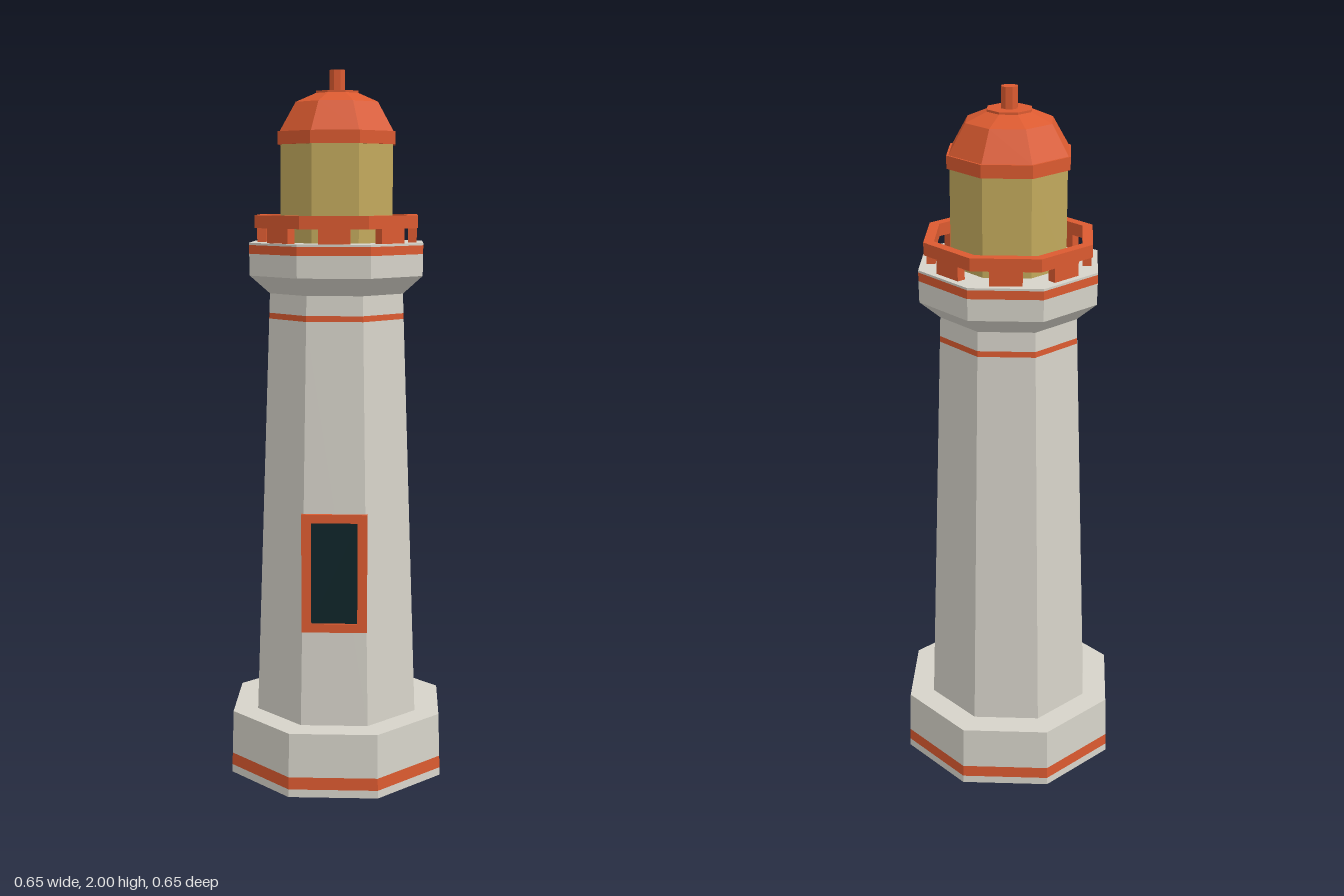
import * as THREE from 'three';

const paint = (color) => new THREE.MeshStandardMaterial({ color, flatShading: true });

export function createModel() {
  const model = new THREE.Group();
  const white = paint(0xd6d3c9), red = paint(0xdb5a30), gold = paint(0xc2a95c), dark = paint(0x0e2429);

  // Eight-sided solid from [radius, height] points, listed bottom to top
  function octagon(name, material, points) {
    const geometry = new THREE.LatheGeometry(points.map(([r, y]) => new THREE.Vector2(r, y)), 8);
    const mesh = new THREE.Mesh(geometry, material);
    mesh.name = name;
    model.add(mesh);
  }

  // Plinth with painted stripe
  octagon('plinthFoot', white, [[0, 0], [0.27, 0], [0.325, 0.008], [0.324, 0.03]]);
  octagon('plinthStripe', red, [[0.324, 0.03], [0.323, 0.065]]);
  octagon('plinth', white, [[0.323, 0.065], [0.319, 0.19], [0.23, 0.19]]);

  // Tapering tower and its stripe
  const towerRadius = (y) => 0.245 - 0.0375 * (y - 0.19);
  octagon('tower', white, [[towerRadius(0.19), 0.19], [towerRadius(1.32), 1.32]]);
  octagon('towerStripe', red, [[towerRadius(1.32), 1.32], [towerRadius(1.336), 1.336]]);
  octagon('towerNeck', white, [[towerRadius(1.336), 1.336], [0.2, 1.39]]);

  // Flared gallery
  octagon('gallery', white, [[0.2, 1.39], [0.258, 1.44], [0.259, 1.5]]);
  octagon('galleryStripe', red, [[0.259, 1.5], [0.259, 1.524]]);
  octagon('galleryFloor', white, [[0.259, 1.524], [0.259, 1.53], [0, 1.53]]);

  // Railing ring on posts, one post per side
  octagon('railing', red, [[0.213, 1.57], [0.243, 1.57], [0.243, 1.605], [0.213, 1.605], [0.213, 1.57]]);
  for (let i = 0; i < 8; i++) {
    const angle = (i + 0.5) * Math.PI / 4;
    const post = new THREE.Mesh(new THREE.BoxGeometry(0.086, 0.042, 0.024), red);
    post.name = 'railingPost';
    post.position.set(Math.sin(angle) * 0.21, 1.55, Math.cos(angle) * 0.21);
    post.rotation.y = angle;
    model.add(post);
  }

  // Lantern room, roof and finial
  octagon('lantern', gold, [[0.167, 1.53], [0.167, 1.8]]);
  octagon('roof', red, [[0, 1.797], [0.175, 1.797], [0.175, 1.832], [0.169, 1.832],
    [0.122, 1.912], [0.063, 1.937], [0.063, 1.943], [0, 1.943]]);
  octagon('finial', red, [[0.023, 1.94], [0.023, 2], [0, 2]]);

  // Framed window lying on the sloping front-left side
  const windowGroup = new THREE.Group();
  windowGroup.name = 'window';
  const rect = (shape, w, h) => shape.moveTo(-w, -h).lineTo(w, -h).lineTo(w, h).lineTo(-w, h).closePath();
  const outline = rect(new THREE.Shape(), 0.091, 0.166);
  outline.holes.push(rect(new THREE.Path(), 0.064, 0.142));
  const frame = new THREE.Mesh(
    new THREE.ExtrudeGeometry(outline, { depth: 0.022, bevelEnabled: false }), red);
  frame.name = 'windowFrame';
  frame.position.z = -0.011;
  const pane = new THREE.Mesh(new THREE.BoxGeometry(0.13, 0.286, 0.006), dark);
  pane.name = 'windowPane';
  windowGroup.add(frame, pane);
  const facing = Math.PI / 8, distance = towerRadius(0.626) * Math.cos(facing);
  windowGroup.position.set(Math.sin(facing) * distance, 0.626, Math.cos(facing) * distance);
  windowGroup.rotation.set(-0.035, facing, 0, 'YXZ');
  model.add(windowGroup);

  return model;
}
